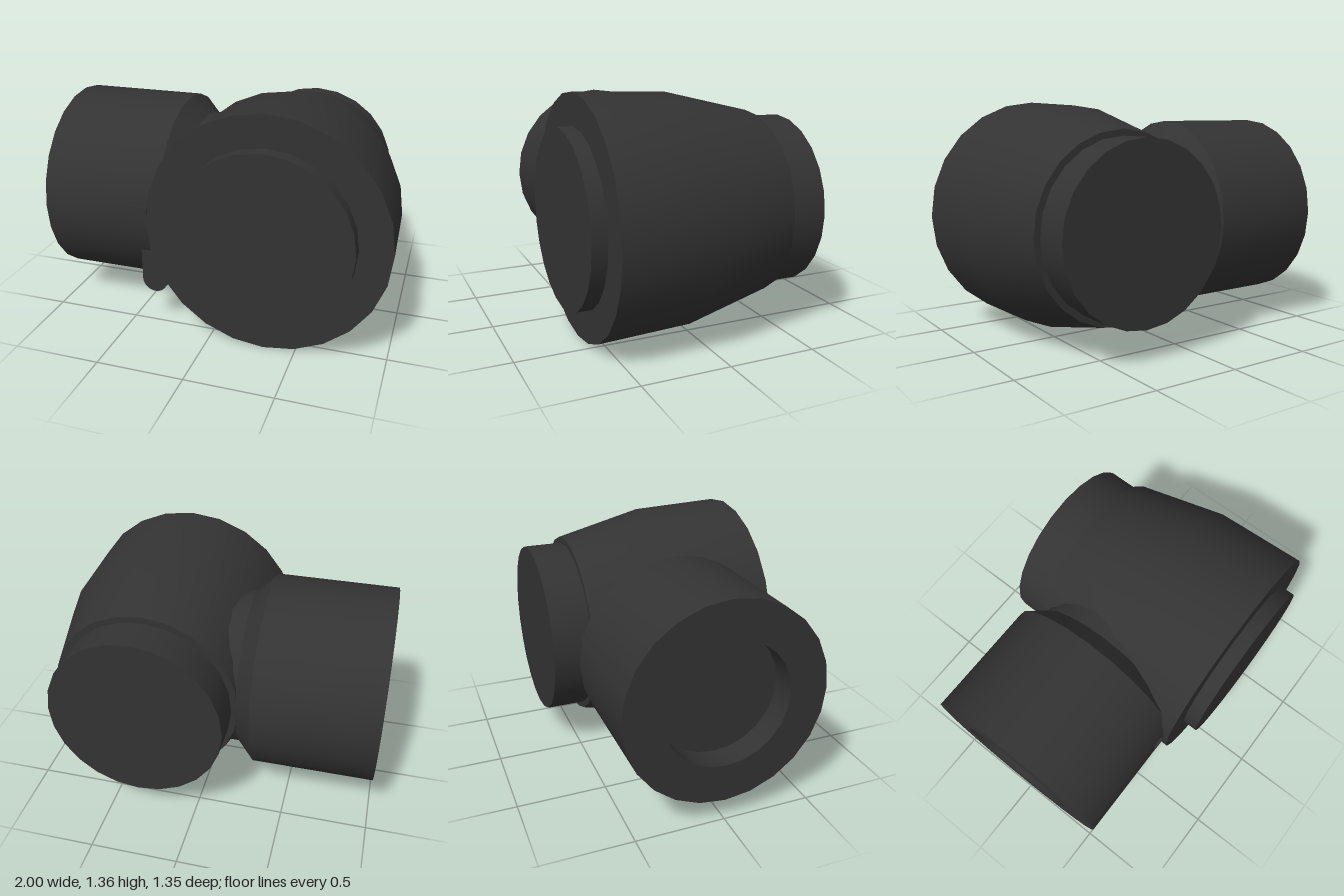
import * as THREE from 'three';
import { toCreasedNormals } from 'three/addons/utils/BufferGeometryUtils.js';

const SIDES = 24;
const CX = 0.32, CY = 0.68; // axis of the main body

export function createModel() {
  const group = new THREE.Group();
  const mat = new THREE.MeshStandardMaterial({ color: 0x333333 });

  const add = (name, geo, x, y, z) => {
    const mesh = new THREE.Mesh(geo, mat);
    mesh.name = name;
    mesh.position.set(x, y, z);
    group.add(mesh);
    return mesh;
  };
  // Turned part from [radius, height] pairs, with crisp profile edges
  const turned = (profile) => toCreasedNormals(
    new THREE.LatheGeometry(profile.map(([r, h]) => new THREE.Vector2(r, h)), SIDES), 0.5);

  // Main body: tapers towards the back
  add('body', turned([
    [0, -0.455], [0.537, -0.455], [0.66, 0.06], [0.68, 0.59], [0, 0.59],
  ]).rotateX(Math.PI / 2), CX, CY, 0);

  // Round caps standing proud at the front and back
  add('frontCap', new THREE.CylinderGeometry(0.5, 0.5, 0.125, SIDES).rotateX(Math.PI / 2), CX, CY, 0.6125);
  add('backCap', new THREE.CylinderGeometry(0.5, 0.5, 0.255, SIDES).rotateX(Math.PI / 2), CX, CY, -0.5475);

  // Side barrel: narrow neck, chamfered shoulder and a shallow bore in its end
  add('sideBarrel', turned([
    [0, 0], [0.46, 0], [0.46, 0.2], [0.563, 0.3], [0.563, 1],
    [0.35, 1], [0.35, 0.85], [0, 0.85],
  ]).rotateZ(Math.PI / 2), 0, 0.683, 0);

  // Round-ended stop lug below the barrel's front
  const lug = new THREE.Shape();
  lug.moveTo(0.075, 0.18);
  lug.lineTo(-0.075, 0.18);
  lug.lineTo(-0.075, 0);
  lug.absarc(0, 0, 0.075, Math.PI, 2 * Math.PI, false);
  lug.closePath();
  const lugGeo = new THREE.ExtrudeGeometry(lug, { depth: 0.32, bevelEnabled: false, curveSegments: 10 });
  add('stopLug', toCreasedNormals(lugGeo, 0.5), -0.355, 0.28, 0.2);

  // Small index mark on the barrel
  add('indexMark', new THREE.BoxGeometry(0.065, 0.035, 0.04), -0.4, 0.732, 0.547).rotation.z = -0.08;

  return group;
}
